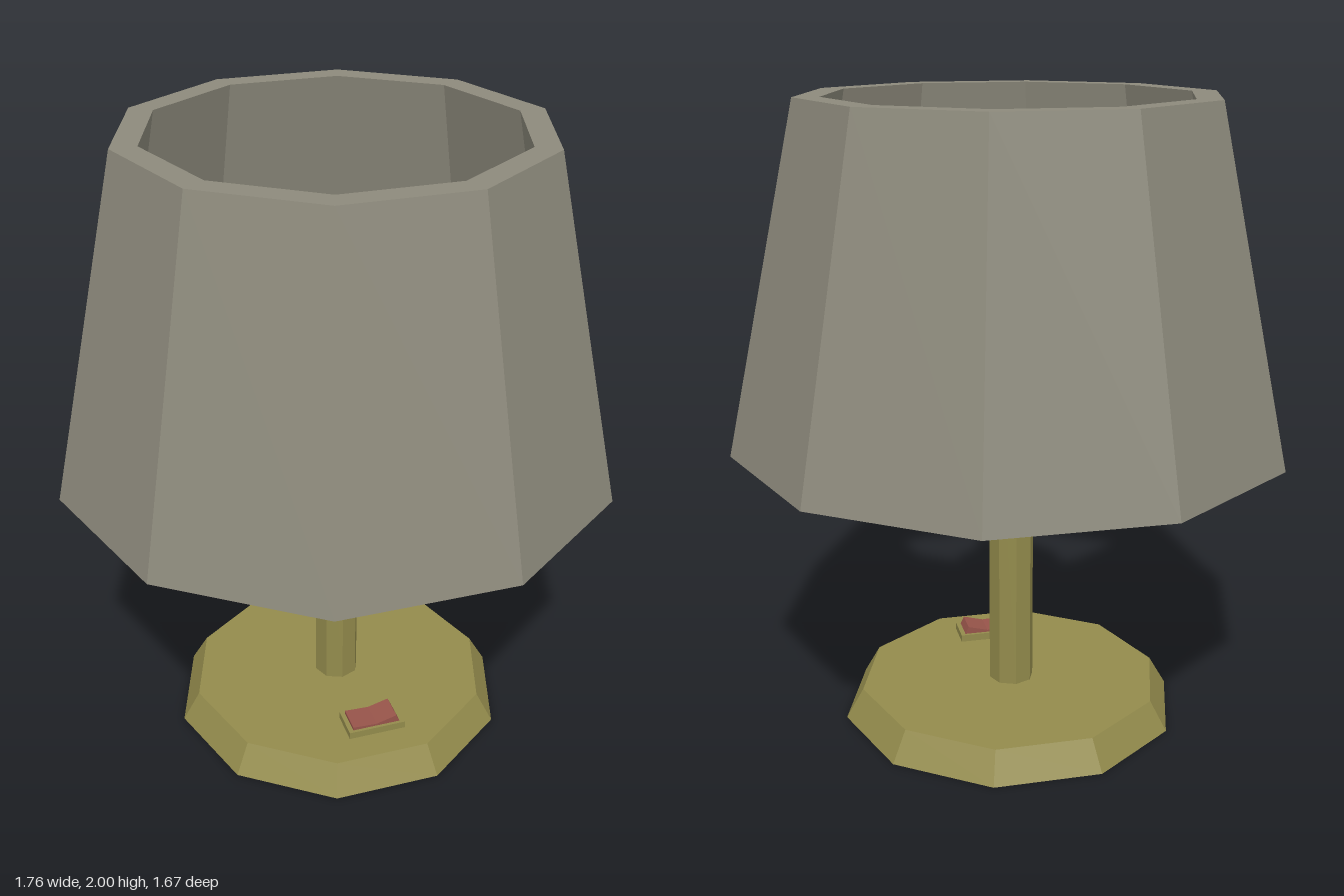
import * as THREE from 'three';

const material = (color) => new THREE.MeshStandardMaterial({ color, flatShading: true });

export function createModel() {
  const lamp = new THREE.Group();
  lamp.name = 'tableLamp';

  const shadeMat = material(0x8d8a7c);
  const brassMat = material(0x938b4c);
  const bulbMat = material(0xf2e20c);
  const switchMat = material(0x97544a);

  const add = (name, geometry, mat, x = 0, y = 0, z = 0) => {
    const mesh = new THREE.Mesh(geometry, mat);
    mesh.name = name;
    mesh.position.set(x, y, z);
    lamp.add(mesh);
    return mesh;
  };

  // Faceted solid of revolution with a corner on the +x axis
  const turned = (sides, profile) => new THREE.LatheGeometry(
    profile.map(([r, y]) => new THREE.Vector2(r, y)), sides, Math.PI / 2);

  // Ten-sided foot with a bevelled rim
  add('base', turned(10, [[0, 0], [0.55, 0], [0.494, 0.096], [0, 0.096]]), brassMat, 0.004, 0, 0.007);

  // Octagonal post
  add('post', turned(8, [[0.073, 0.09], [0.073, 1.06]]), brassMat);

  // Hexagonal cup that holds the bulb
  add('socket', turned(6, [
    [0, 1.04], [0.17, 1.04], [0.28, 1.29], [0.24, 1.29], [0.16, 1.12], [0, 1.12],
  ]), brassMat, 0, 0, -0.006);

  // Faceted bulb
  add('bulb', turned(6, [
    [0, 1.11], [0.11, 1.11], [0.2, 1.25], [0.224, 1.37], [0.19, 1.49], [0.11, 1.57], [0, 1.6],
  ]), bulbMat, -0.004, 0, -0.003);

  // Hollow ten-sided shade with a thick wall
  add('shade', turned(10, [
    [0.775, 0.935], [0.878, 0.935], [0.645, 2], [0.565, 2], [0.775, 0.935],
  ]), shadeMat);

  // Four arms from the cup to the inside of the shade
  for (let i = 0; i < 4; i++) {
    const angle = i * Math.PI / 2;
    const inner = 0.18;
    const outer = i % 2 ? 0.7 : 0.735;
    const mid = (inner + outer) / 2;
    const arm = add('shadeArm', new THREE.BoxGeometry(outer - inner, 0.04, 0.04), brassMat,
      Math.cos(angle) * mid, 1.19, -Math.sin(angle) * mid);
    arm.rotation.y = angle;
  }

  // Switch plate on the foot
  add('switchPlate', new THREE.BoxGeometry(0.19, 0.03, 0.108), brassMat, 0.02, 0.105, 0.327);

  // Rocker, pressed down on one side
  const rocker = new THREE.Shape([
    [-0.06, 0.115], [0.102, 0.115], [0.088, 0.145], [0.02, 0.127], [-0.06, 0.131],
  ].map(([x, y]) => new THREE.Vector2(x, y)));
  add('switchRocker', new THREE.ExtrudeGeometry(rocker, { depth: 0.088, bevelEnabled: false }),
    switchMat, 0, 0, 0.283);

  return lamp;
}
